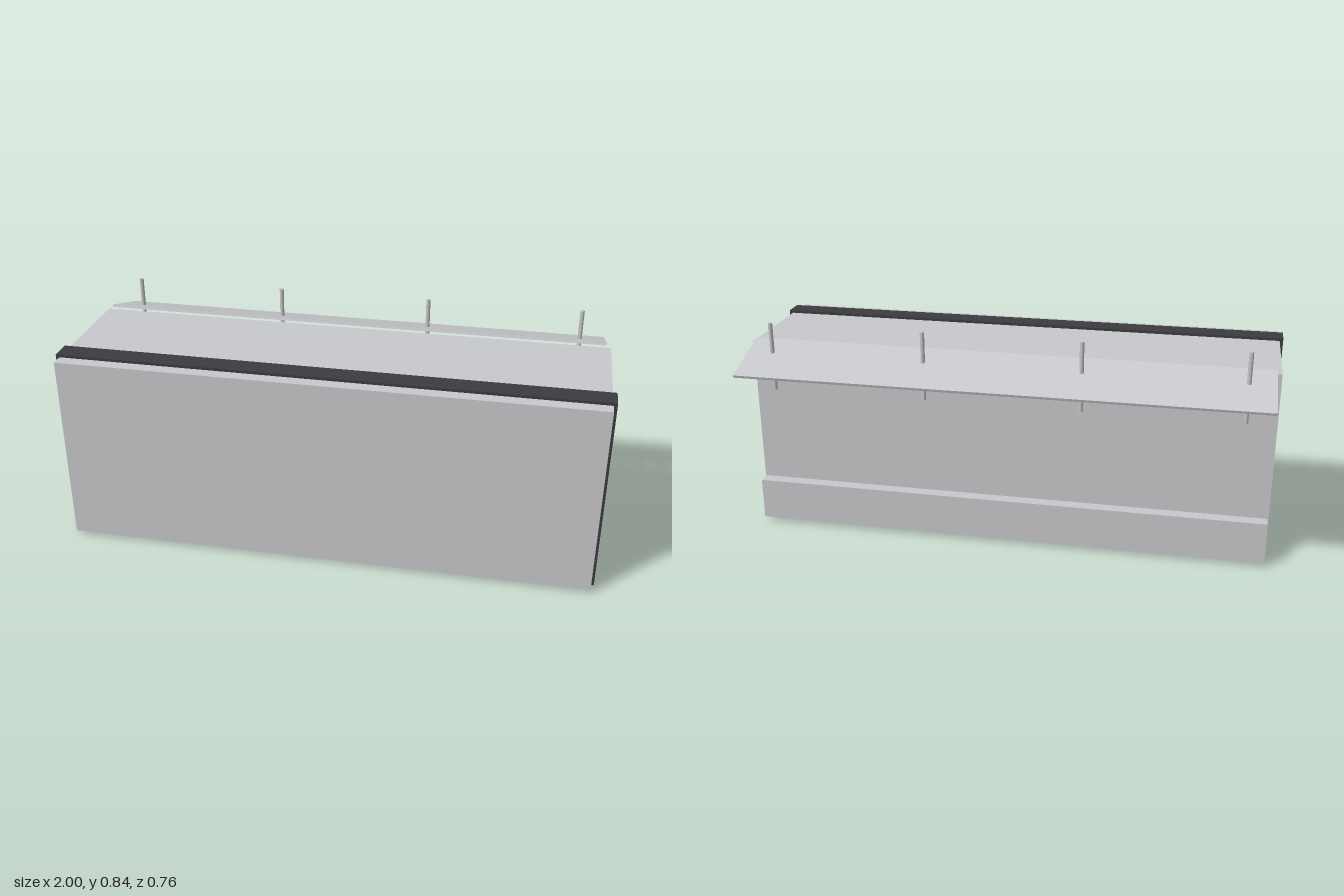
import * as THREE from 'three';

export function createModel() {
  const group = new THREE.Group();
  const material = (name, color) => {
    const m = new THREE.MeshStandardMaterial({ color });
    m.name = name;
    return m;
  };
  const panelGrey = material('panel grey', 0xc8c9cc);
  const charcoal = material('charcoal', 0x3c3b3e);
  const steel = material('steel grey', 0xc4c4c4);

  const add = (name, geometry, mat, x, y, z) => {
    const mesh = new THREE.Mesh(geometry, mat);
    mesh.name = name;
    mesh.position.set(x, y, z);
    group.add(mesh);
    return mesh;
  };
  // Box from its width and its y and z limits, centred on x
  const box = (name, mat, width, y0, y1, z0, z1) =>
    add(name, new THREE.BoxGeometry(width, y1 - y0, z1 - z0), mat, 0, (y0 + y1) / 2, (z0 + z1) / 2);

  // Cabinet with the dark band around it and a skirt standing off the back
  box('cabinet', panelGrey, 1.974, 0.011, 0.736, -0.143, 0.38);
  box('band', charcoal, 2, 0, 0.746, 0.252, 0.333);
  box('rearSkirt', panelGrey, 1.964, 0.014, 0.175, -0.196, -0.149);

  // Slanted strip, partly sunk into the back
  const strip = box('rearStrip', panelGrey, 1.89, 0.61, 0.686, -0.1515, -0.1415);
  strip.rotation.x = -0.115;
  strip.position.z = -0.1425;

  // Sloping canopy with its round rail below
  const canopy = add('canopy', new THREE.BoxGeometry(1.94, 0.01, 0.242), panelGrey, 0, 0.711, -0.2605);
  canopy.rotation.x = -0.316;
  const rail = add('canopyRail', new THREE.CylinderGeometry(0.007, 0.007, 1.9, 16), steel, 0, 0.676, -0.318);
  rail.rotation.z = Math.PI / 2;

  // Four posts through the canopy
  const postGeometry = new THREE.CylinderGeometry(0.008, 0.008, 0.26, 16);
  for (let i = 0; i < 4; i++) {
    add('post', postGeometry, steel, -0.873 + i * 0.582, 0.71, -0.231);
  }
  return group;
}
